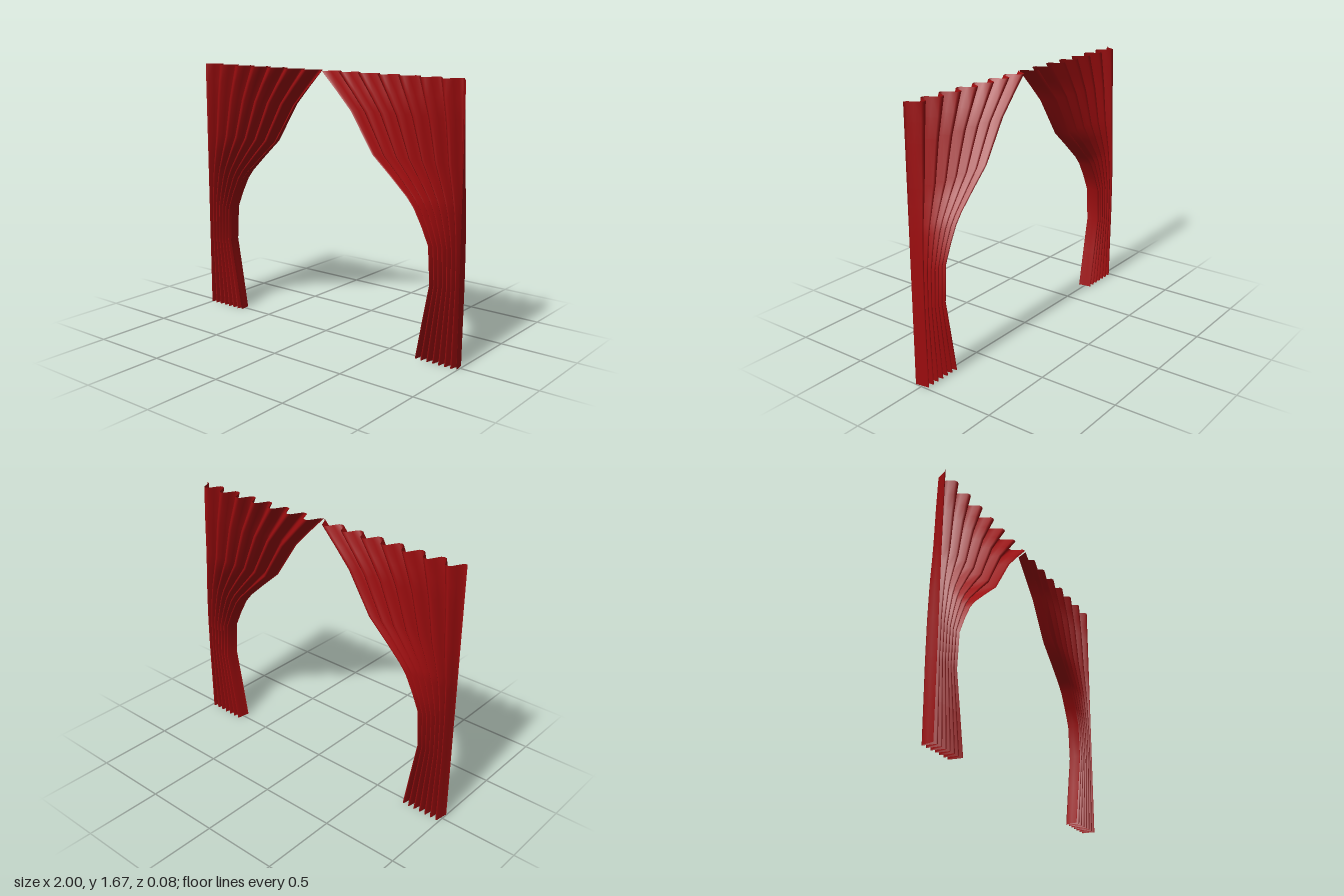
import * as THREE from 'three';

const HEIGHT = 1.675, FOLDS = 7, STEPS = 8;

// Inner edge of the drape, top to bottom: [distance from centre, height]
const EDGE = [
  [0, HEIGHT], [0.11, 1.565], [0.22, 1.45], [0.385, 1.2], [0.51, 1.09], [0.63, 0.98], [0.68, 0.92],
  [0.735, 0.82], [0.785, 0.71], [0.8, 0.48], [0.755, 0.24], [0.712, 0],
];

// Pleat depth across the cloth: a cosine with flattened crests
function pleat(u) {
  const c = Math.cos(u * FOLDS * Math.PI * 2);
  return 0.042 * THREE.MathUtils.clamp(c * 1.2, -1, 1);
}

// One gathered cloth panel; side is +1 or -1
function drape(side, material) {
  const cols = FOLDS * STEPS, rows = EDGE.length - 1;
  const geometry = new THREE.PlaneGeometry(1, 1, cols, rows);
  const pos = geometry.attributes.position;
  for (let r = 0; r <= rows; r++) {
    const [inner, y] = EDGE[r];
    for (let c = 0; c <= cols; c++) {
      // Columns always run towards +x so the faces keep their front
      const u = side > 0 ? c / cols : 1 - c / cols;
      const x = side * THREE.MathUtils.lerp(inner, 1, u);
      pos.setXYZ(r * (cols + 1) + c, x, y, pleat(u));
    }
  }
  geometry.computeVertexNormals();
  return new THREE.Mesh(geometry, material);
}

export function createModel() {
  const group = new THREE.Group();
  group.name = 'curtains';
  const cloth = new THREE.MeshStandardMaterial({ color: 0x9c0c0e, side: THREE.DoubleSide });
  for (const [side, name] of [[1, 'leftCurtain'], [-1, 'rightCurtain']]) {
    const panel = drape(side, cloth);
    panel.name = name;
    group.add(panel);
  }
  return group;
}
